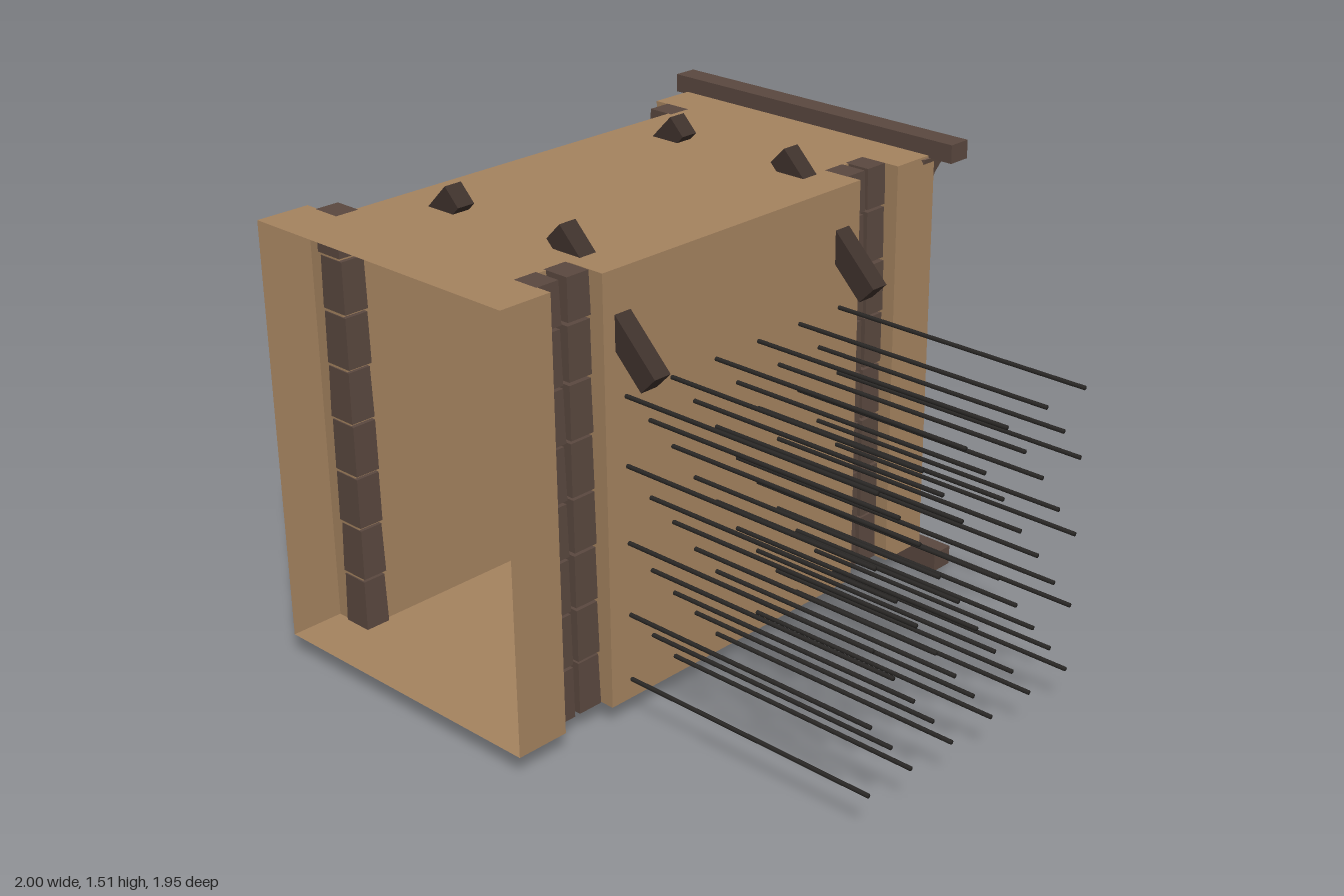
import * as THREE from 'three';
import { mergeGeometries } from 'three/addons/utils/BufferGeometryUtils.js';

const FLOOR = 0.068, CEILING = 1.435;
const mat = (color, extra = {}) => new THREE.MeshStandardMaterial({ color, ...extra });

export function createModel() {
  const model = new THREE.Group();
  const plaster = mat(0xa5835f, { side: THREE.DoubleSide });
  const wood = mat(0x5a483f, { flatShading: true });
  const columnWood = mat(0x735c4f, { flatShading: true });
  const darkWood = mat(0x3f322c, { flatShading: true });
  const iron = mat(0x2a2826);

  const add = (name, geometry, material, parent = model) => {
    const mesh = new THREE.Mesh(geometry, material);
    mesh.name = name;
    parent.add(mesh);
    return mesh;
  };

  // Passage plan as [x, z], with recesses for the block pillars
  const rightPlan = [[0.09, 0.97], [0.09, 0.79], [-0.04, 0.79], [-0.04, 0.6], [0.09, 0.6],
    [0.09, -0.49], [-0.04, -0.49], [-0.04, -0.67], [0.09, -0.67], [0.09, -0.85]];
  const leftPlan = [[-0.95, -0.85], [-0.95, -0.67], [-0.82, -0.67], [-0.82, 0.79],
    [-0.95, 0.79], [-0.95, 0.97]];

  // Thin walls along each side of the plan, open at both ends
  function wall(plan) {
    const parts = [];
    for (let i = 1; i < plan.length; i++) {
      const [x0, z0] = plan[i - 1], [x1, z1] = plan[i];
      const g = new THREE.PlaneGeometry(Math.hypot(x1 - x0, z1 - z0), CEILING - FLOOR);
      g.rotateY(-Math.atan2(z1 - z0, x1 - x0));
      g.translate((x0 + x1) / 2, (FLOOR + CEILING) / 2, (z0 + z1) / 2);
      parts.push(g);
    }
    return mergeGeometries(parts);
  }
  add('leftWall', wall(rightPlan), plaster);
  add('rightWall', wall(leftPlan), plaster);

  // Floor and ceiling
  const outline = new THREE.Shape([...rightPlan, ...leftPlan].map(([x, z]) => new THREE.Vector2(x, z)));
  for (const [name, y] of [['floor', FLOOR], ['ceiling', CEILING]]) {
    add(name, new THREE.ShapeGeometry(outline).rotateX(Math.PI / 2).translate(0, y, 0), plaster);
  }

  // Pillars of stacked, slightly uneven blocks
  let seed = 7;
  const jitter = (amount) => {
    seed = (seed * 16807) % 2147483647;
    return (seed / 2147483647 - 0.5) * amount;
  };
  function blockPillar(name, x, z, width) {
    const pillar = new THREE.Group();
    pillar.name = name;
    for (let i = 0; i < 8; i++) {
      const bottom = FLOOR + i * 0.1765;
      const height = i < 7 ? 0.166 : CEILING - bottom;
      const g = new THREE.BoxGeometry(width, height, 0.086);
      const taper = 0.05 + jitter(0.06);
      const p = g.attributes.position;
      for (let v = 0; v < p.count; v++) {
        const k = p.getY(v) > 0 ? 1 - taper : 1;
        p.setX(v, p.getX(v) * k);
        p.setZ(v, p.getZ(v) * k);
      }
      g.translate(x + jitter(0.004), bottom + height / 2, z + jitter(0.004));
      add('block', g, wood, pillar);
    }
    model.add(pillar);
  }
  for (const z of [0.753, 0.645, -0.53, -0.63]) blockPillar('leftBlockPillar', -0.005, z, 0.096);
  for (const z of [0.753, -0.63]) blockPillar('rightBlockPillar', -0.855, z, 0.1);

  // Diagonal braces passing through the walls and ceiling
  for (const z of [0.525, -0.41]) {
    for (const [name, x, side] of [['leftBrace', 0.033, -1], ['rightBrace', -0.758, 1]]) {
      const brace = add(name, new THREE.BoxGeometry(0.514, 0.077, 0.062), darkWood);
      brace.position.set(x, 1.305, z);
      brace.rotation.z = side * Math.PI / 4;
    }
  }

  // Doorway at the back: sill, lintel and two octagonal columns
  add('sill', new THREE.BoxGeometry(1.18, 0.065, 0.08).translate(-0.41, 0.0325, -0.86), wood);
  add('lintel', new THREE.BoxGeometry(1.18, 0.06, 0.08).translate(-0.41, 1.457, -0.86), wood);
  const profile = [[0, 0.06], [0.076, 0.06], [0.083, 0.075], [0.083, 0.1], [0.088, 0.108], [0.088, 0.13],
    [0.082, 0.137], [0.086, 0.145], [0.086, 0.165], [0.08, 0.185], [0.082, 0.2], [0.079, 0.7],
    [0.076, 1.27], [0.088, 1.3], [0.105, 1.36], [0.139, 1.428], [0, 1.434]]
    .map(([r, y]) => new THREE.Vector2(r, y));
  for (const [name, x] of [['leftColumn', -0.03], ['rightColumn', -0.825]]) {
    const column = add(name, new THREE.LatheGeometry(profile, 8), columnWood);
    column.rotation.y = Math.PI / 8;
    column.position.set(x, 0, -0.847);
  }

  // Staggered rows of iron spikes, pointed on the inside
  const spikes = new THREE.Group();
  spikes.name = 'spikes';
  const spikeProfile = [[0, -0.03], [0.008, 0.03], [0.007, 0.08], [0.007, 1], [0, 1]]
    .map(([r, y]) => new THREE.Vector2(r, y));
  const spikeShape = new THREE.LatheGeometry(spikeProfile, 8).rotateZ(-Math.PI / 2);
  [1.047, 0.943, 0.83, 0.697, 0.584, 0.46, 0.348, 0.242, 0.131].forEach((y, row) => {
    const odd = row % 2;
    for (let i = 0; i < 6 - odd; i++) {
      add('spike', spikeShape, iron, spikes).position.set(0, y, 0.518 - odd * 0.092 - i * 0.184);
    }
  });
  model.add(spikes);

  return model;
}
